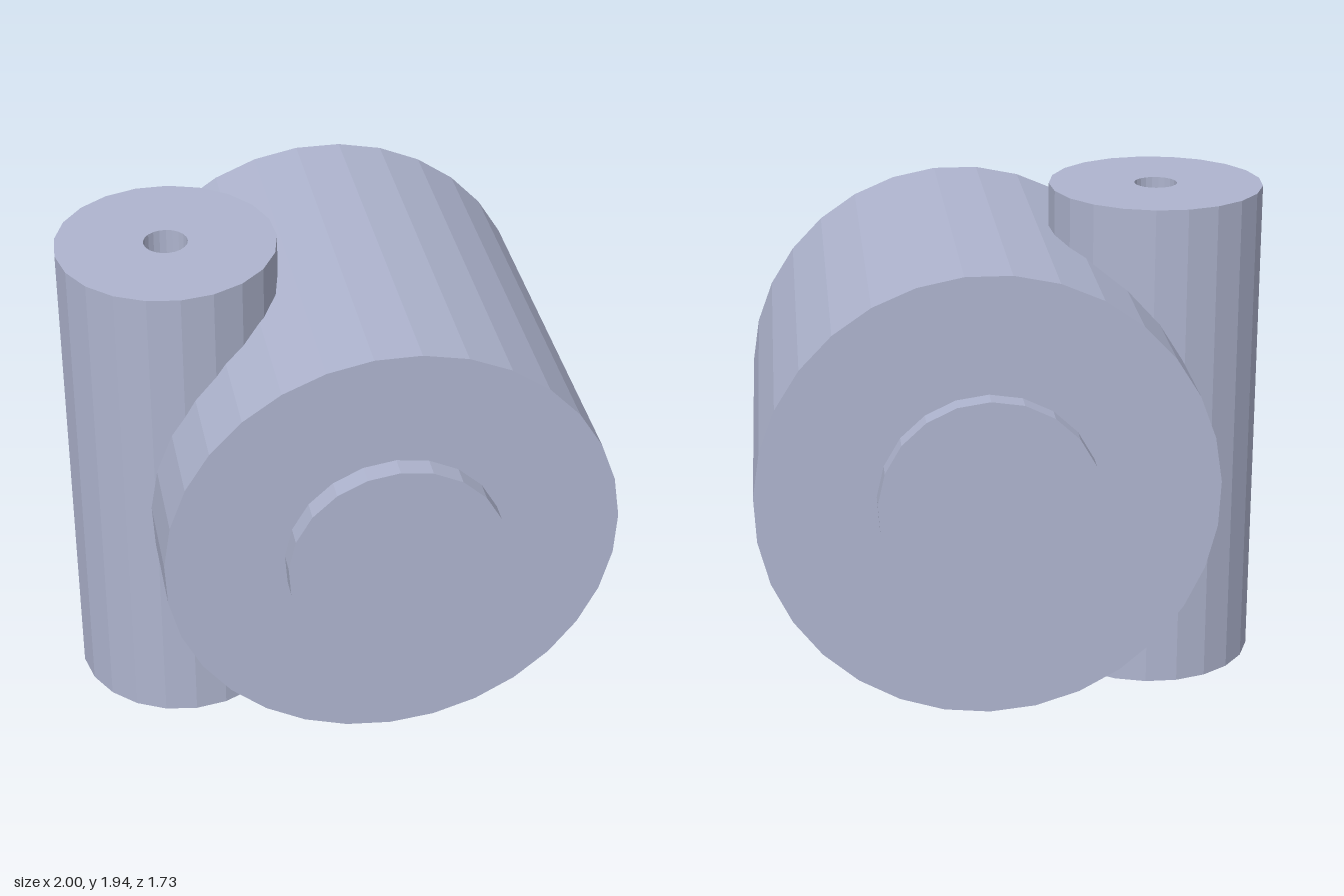
import * as THREE from 'three';

const CX = 0.135, CY = 0.97; // axis of the drum

export function createModel() {
  const group = new THREE.Group();
  const steel = new THREE.MeshStandardMaterial({ color: 0xaeb4ce, flatShading: true });
  steel.name = 'blueGreySteel';

  const add = (name, geometry, x, y, z) => {
    const mesh = new THREE.Mesh(geometry, steel);
    mesh.name = name;
    mesh.position.set(x, y, z);
    group.add(mesh);
  };

  // Large faceted drum lying along z
  const drum = new THREE.CylinderGeometry(0.862, 0.862, 1.57, 31);
  add('drum', drum.rotateX(Math.PI / 2), CX, CY, 0);

  // Raised round boss on each end of the drum
  for (const [name, side] of [['frontBoss', 1], ['backBoss', -1]]) {
    const boss = new THREE.CylinderGeometry(0.414, 0.414, 0.12, 21, 1, false, Math.PI);
    add(name, boss.rotateX(Math.PI / 2), CX, CY, side * 0.806);
  }

  // Upright post with a bore open at both ends, stopped by the drum inside
  const R = 0.414, r = 0.083, H = 1.94;
  const profile = [[r, 0], [R, 0], [R, H], [r, H], [r, 0]].map(([x, y]) => new THREE.Vector2(x, y));
  add('borePost', new THREE.LatheGeometry(profile, 21), -0.587, 0, 0.033);

  return group;
}
